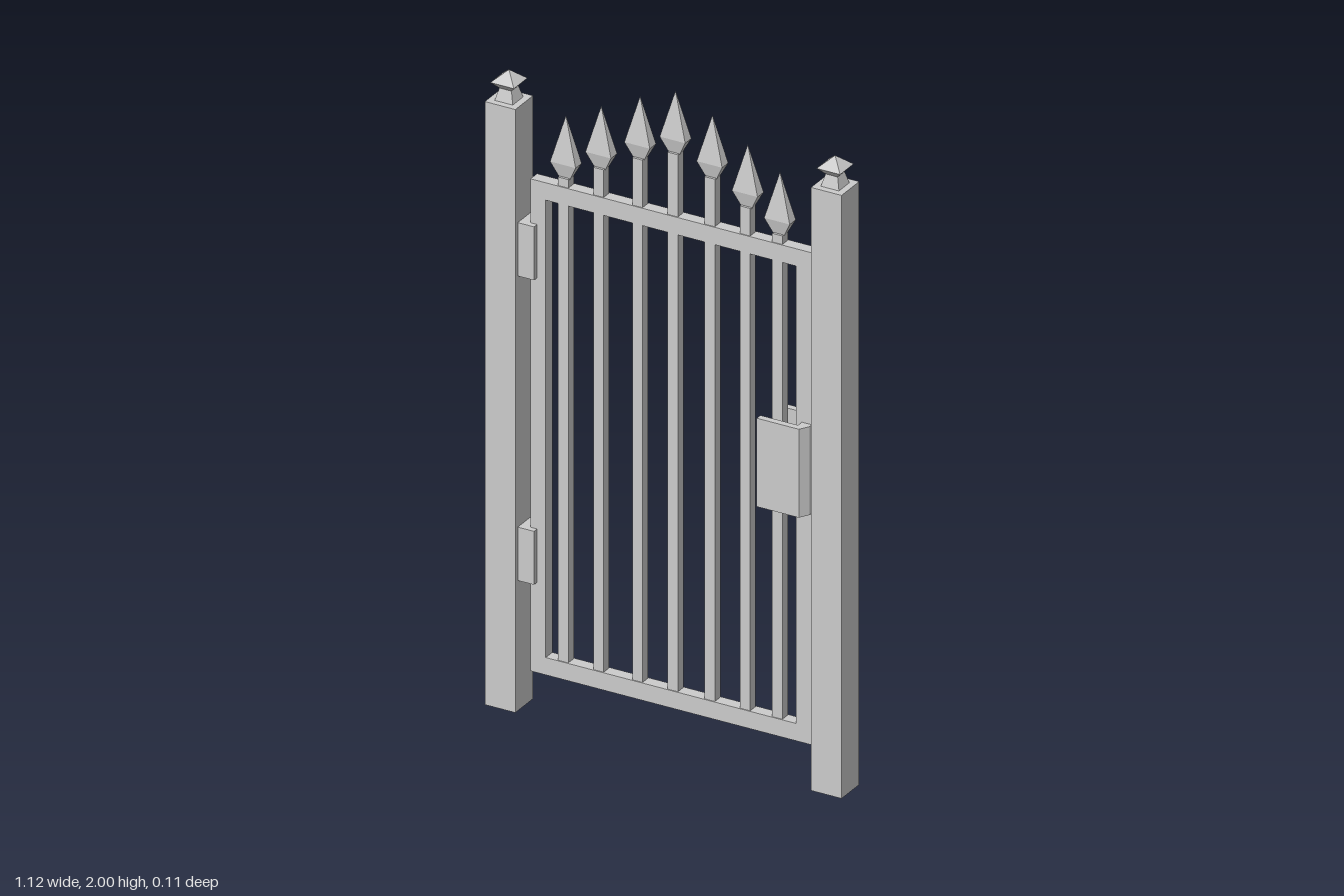
import * as THREE from 'three';

const Z0 = -0.002; // middle plane of the gate

export function createModel() {
  const group = new THREE.Group();
  const mat = new THREE.MeshStandardMaterial({ color: 0xcccccc, flatShading: true });

  const add = (name, geometry) => {
    const mesh = new THREE.Mesh(geometry, mat);
    mesh.name = name;
    group.add(mesh);
    return mesh;
  };

  // Box given by its extents in x and y, and its depth about the middle plane
  const block = (name, x0, x1, y0, y1, depth) => add(name,
    new THREE.BoxGeometry(x1 - x0, y1 - y0, depth)
      .translate((x0 + x1) / 2, (y0 + y1) / 2, Z0));

  // Four-sided tapered solid from [half width, height] pairs, going upwards
  const taper = (profile, depthScale = 1) => new THREE.LatheGeometry(
    profile.map(([h, y]) => new THREE.Vector2(h * Math.SQRT2, y)), 4, Math.PI / 4
  ).scale(1, 1, depthScale);

  const rectangle = (Type, x0, x1, y0, y1) => new Type([
    new THREE.Vector2(x0, y0), new THREE.Vector2(x1, y0),
    new THREE.Vector2(x1, y1), new THREE.Vector2(x0, y1),
  ]);

  // Posts with pointed finials
  for (const side of [-1, 1]) {
    const x = side * 0.512;
    block('post', x - 0.048, x + 0.048, 0, 1.842, 0.096);
    add('finial', taper([[0.029, 1.84], [0.019, 1.878], [0.037, 1.898], [0, 1.931]]))
      .position.set(x, 0, Z0);
  }

  // Gate frame
  const frame = rectangle(THREE.Shape, -0.434, 0.45, 0.122, 1.625);
  frame.holes.push(rectangle(THREE.Path, -0.386, 0.4, 0.175, 1.572));
  add('gateFrame', new THREE.ExtrudeGeometry(frame, { depth: 0.036, bevelEnabled: false })
    .translate(0, 0, Z0 - 0.018));

  // Vertical bars with spear heads, rising towards the middle
  const barX = [-0.333, -0.222, -0.1, 0.011, 0.127, 0.238, 0.339];
  const tipY = [1.836, 1.894, 1.955, 2];
  barX.forEach((x, i) => {
    const tip = tipY[Math.min(i, 6 - i)];
    block('bar', x - 0.016, x + 0.016, 0.15, tip - 0.185, 0.03);
    add('spearHead', taper([[0.016, tip - 0.19], [0.04, tip - 0.143], [0, tip]], 0.42))
      .position.set(x, 0, Z0);
  });

  // Hinges
  for (const y of [0.398, 1.328]) block('hinge', -0.466, -0.413, y, y + 0.163, 0.07);

  // U-shaped latch plate wrapped around the closing edge
  const half = [[0.3, 0.037], [0.3, 0.057], [0.432, 0.057], [0.449, 0.029]];
  const inner = [0.418, 0.037];
  const outline = [inner, ...half, ...[...half, ].reverse().map(([x, z]) => [x, -z]), [inner[0], -inner[1]]];
  add('latch', new THREE.ExtrudeGeometry(
    new THREE.Shape(outline.map(([x, z]) => new THREE.Vector2(x, z))),
    { depth: 0.27, bevelEnabled: false }
  ).rotateX(-Math.PI / 2).translate(0, 0.83, 0));

  return group;
}
